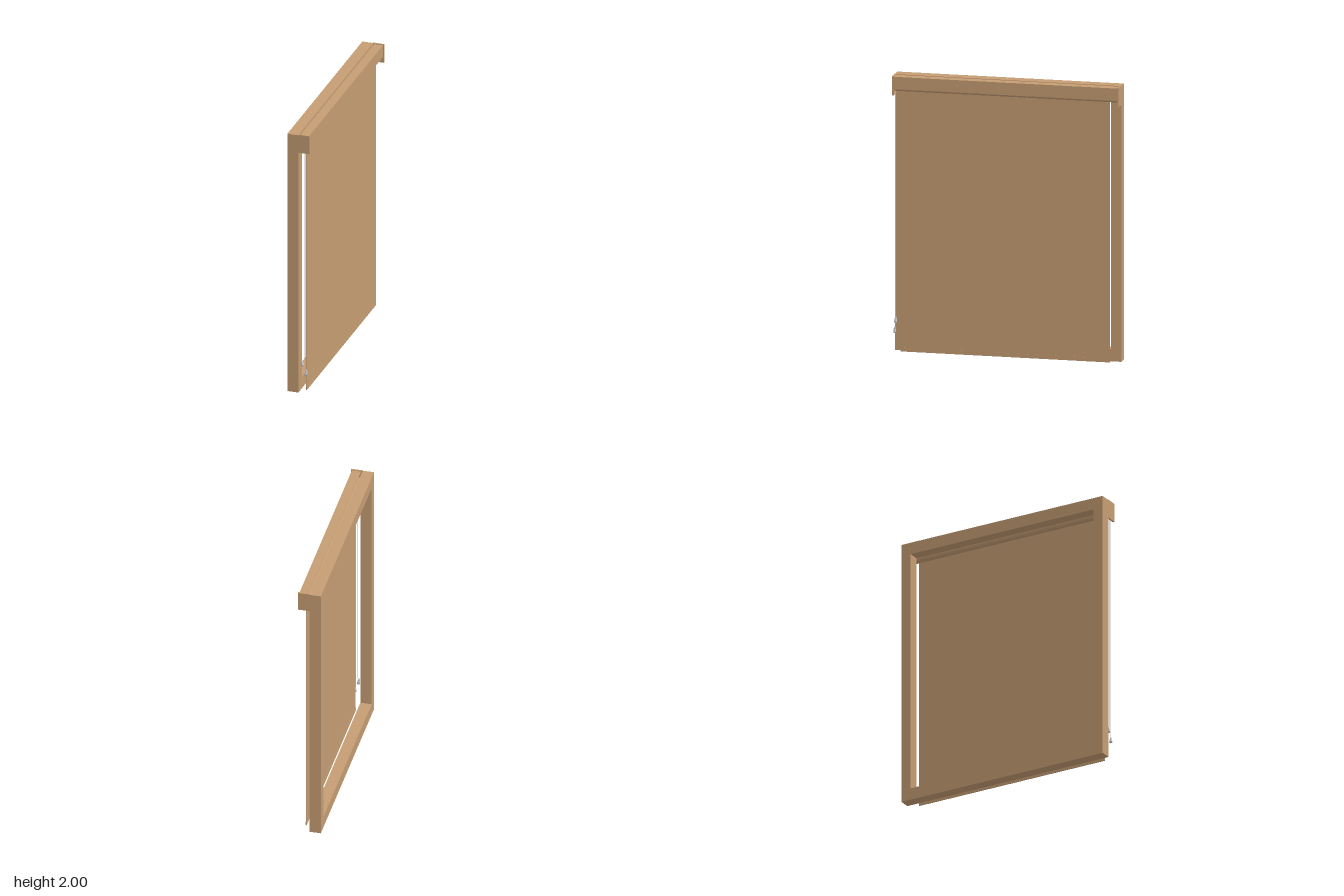
import * as THREE from 'three';

export function createModel() {
  const root = new THREE.Group();
  root.name = 'windowFrameWithRollerShade';

  const wood = new THREE.MeshStandardMaterial({ color: 0xc49c72 });
  wood.name = 'tan';
  const grey = new THREE.MeshStandardMaterial({ color: 0xc6cad2 });
  grey.name = 'lightGrey';

  const add = (name, geometry, material, parent = root) => {
    const mesh = new THREE.Mesh(geometry, material);
    mesh.name = name;
    parent.add(mesh);
    return mesh;
  };
  // Box given by its limits on each axis
  const box = (name, [x0, x1], [y0, y1], [z0, z1], parent = root) => {
    const mesh = add(name, new THREE.BoxGeometry(x1 - x0, y1 - y0, z1 - z0), wood, parent);
    mesh.position.set((x0 + x1) / 2, (y0 + y1) / 2, (z0 + z1) / 2);
    return mesh;
  };

  // Window frame: one rectangle with an opening, extruded along x
  const W = 0.818, H = 1.996;
  const outline = new THREE.Shape([
    new THREE.Vector2(-W, 0), new THREE.Vector2(W, 0),
    new THREE.Vector2(W, H), new THREE.Vector2(-W, H),
  ]);
  const w = W - 0.074;
  outline.holes.push(new THREE.Path([
    new THREE.Vector2(-w, 0.088), new THREE.Vector2(-w, H - 0.088),
    new THREE.Vector2(w, H - 0.088), new THREE.Vector2(w, 0.088),
  ]));
  const frameGeometry = new THREE.ExtrudeGeometry(outline, { depth: 0.082, bevelEnabled: false });
  frameGeometry.rotateY(Math.PI / 2);
  add('windowFrame', frameGeometry, wood).position.x = -0.083;

  // Headbox: end brackets, top plate and fascia
  const headbox = new THREE.Group();
  headbox.name = 'headbox';
  root.add(headbox);
  for (const s of [-1, 1]) {
    const z = [s * 0.806, s * 0.818].sort((a, b) => a - b);
    box(s > 0 ? 'nearBracket' : 'farBracket', [-0.001, 0.083], [1.86, 2], z, headbox);
  }
  box('topPlate', [0.01, 0.073], [1.988, 1.995], [-0.806, 0.806], headbox);
  box('fascia', [0.067, 0.075], [1.905, 1.995], [-0.806, 0.806], headbox);

  // Rolled fabric and the hanging sheet
  const roll = add('fabricRoll', new THREE.CylinderGeometry(0.03, 0.03, 1.612, 24), wood, headbox);
  roll.rotation.x = Math.PI / 2;
  roll.position.set(0.033, 1.915, 0);
  box('shadeFabric', [0.038, 0.043], [0.003, 1.92], [-0.745, 0.765]);
  box('bottomBar', [0.037, 0.044], [0.002, 0.03], [-0.745, 0.765]);

  // Pull cords with a small tassel at each end
  const tasselProfile = [[0, 0], [0.011, 0], [0.01, 0.012], [0.006, 0.036], [0.003, 0.044], [0, 0.044]]
    .map(([r, y]) => new THREE.Vector2(r, y));
  for (const [name, x, bottom, tilt] of [['back', 0.036, 0.205, -0.008], ['front', 0.046, 0.137, 0.005]]) {
    const length = 1.92 - bottom - 0.04;
    const cord = add(name + 'Cord', new THREE.CylinderGeometry(0.002, 0.002, length, 8), grey);
    cord.position.set(x, 1.92 - length / 2, 0.803);
    const tassel = add(name + 'Tassel', new THREE.LatheGeometry(tasselProfile, 12), grey);
    tassel.position.set(x + tilt, bottom, 0.806);
    tassel.rotation.z = -tilt * 20;
  }

  return root;
}
